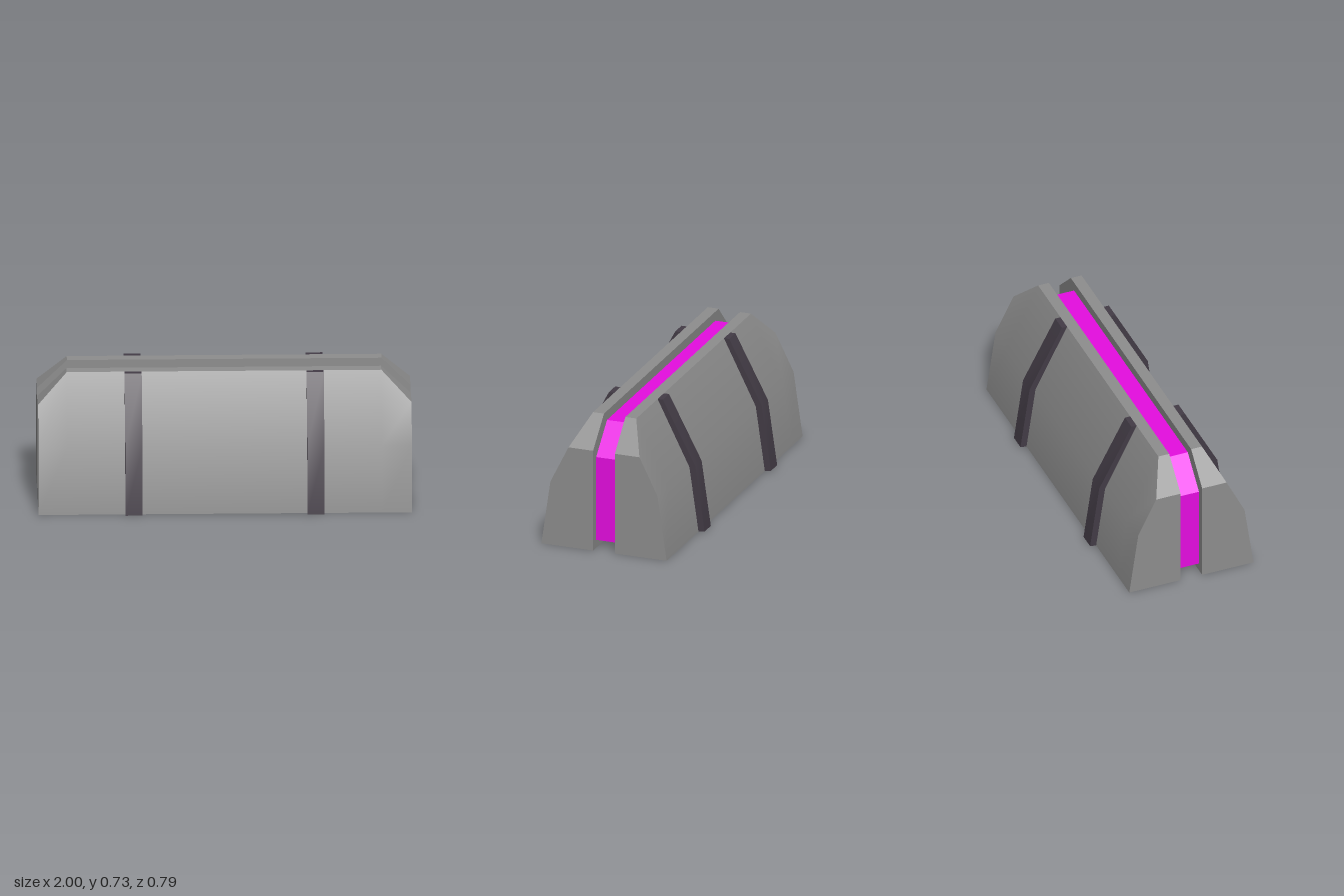
import * as THREE from 'three';
import { toCreasedNormals } from 'three/addons/utils/BufferGeometryUtils.js';

// Solid lofted along x from [x, [[z, y], ...]] sections; caps fan out from the first point.
function loft(sections) {
  const pos = [];
  const tri = (...corners) => corners.forEach(([s, i]) => {
    const [x, pts] = sections[s];
    const [z, y] = pts[i % pts.length];
    pos.push(x, y, z);
  });
  const n = sections[0][1].length, last = sections.length - 1;
  for (let s = 0; s < last; s++) {
    for (let i = 0; i < n; i++) {
      tri([s, i], [s + 1, i + 1], [s, i + 1]);
      tri([s, i], [s + 1, i], [s + 1, i + 1]);
    }
  }
  for (let i = 1; i < n - 1; i++) {
    tri([0, 0], [0, i], [0, i + 1]);
    tri([last, 0], [last, i + 1], [last, i]);
  }
  const geo = new THREE.BufferGeometry();
  geo.setAttribute('position', new THREE.Float32BufferAttribute(pos, 3));
  return toCreasedNormals(geo, Math.PI / 6);
}

export function createModel() {
  const group = new THREE.Group();
  const shellMat = new THREE.MeshStandardMaterial({ color: 0x8e8e8e });
  const strapMat = new THREE.MeshStandardMaterial({ color: 0x433c46 });
  const coreMat = new THREE.MeshStandardMaterial({ color: 0xe60de1 });

  const add = (name, geo, mat) => {
    const mesh = new THREE.Mesh(geo, mat);
    mesh.name = name;
    group.add(mesh);
    return mesh;
  };

  // Shell cross-section, its top lowered at the chamfered ends
  const gap = 0.0625;
  const shellSection = (topZ, topY) =>
    [[gap, 0], [0.36, 0], [0.308, 0.362], [topZ, topY], [gap, topY]];
  const full = shellSection(0.125, 0.728), low = shellSection(0.204, 0.572);
  const shell = loft([[-1, low], [-0.845, full], [0.84, full], [1, low]]);

  // Bent strap that follows the outside of a shell
  const strapSection = [[0.308, 0.362], [0.36, 0], [0.395, 0.005],
    [0.342, 0.372], [0.155, 0.728], [0.125, 0.728]];
  const strap = loft([[-0.046, strapSection], [0.046, strapSection]]);

  // Front and back halves
  for (const [side, turn] of [['front', 0], ['back', Math.PI]]) {
    add(side + 'Shell', shell, shellMat).rotation.y = turn;
    for (const [end, x] of [['Right', -0.49], ['Left', 0.485]]) {
      const mesh = add(side + end + 'Strap', strap, strapMat);
      mesh.position.x = x;
      mesh.rotation.y = turn;
    }
  }

  // Bright core slab with chamfered upper corners
  const slab = (top) => [[-gap, 0.045], [gap, 0.045], [gap, top], [-gap, top]];
  add('core', loft([[-0.955, slab(0.52)], [-0.798, slab(0.676)],
    [0.795, slab(0.676)], [0.955, slab(0.52)]]), coreMat);

  return group;
}
